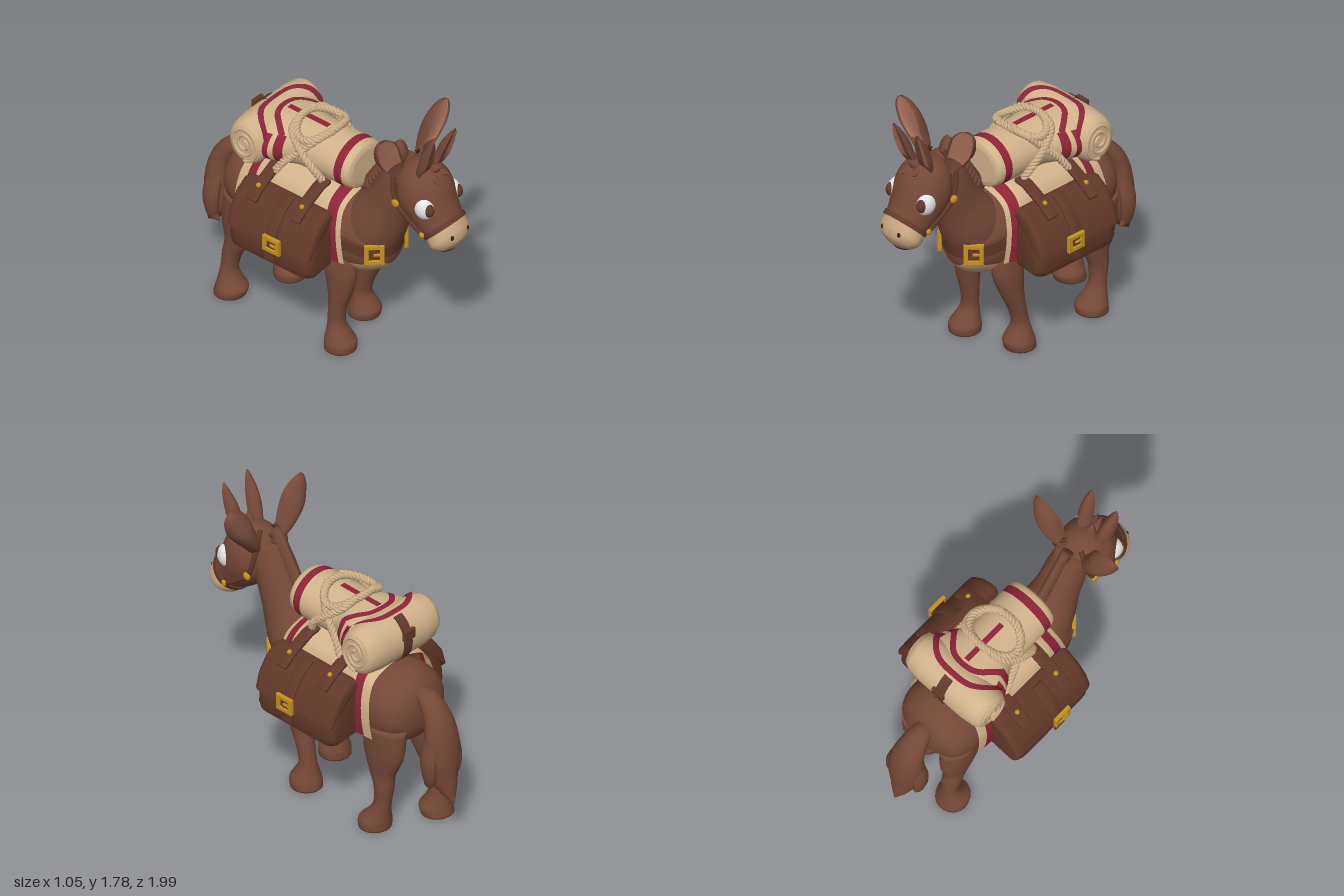
import * as THREE from 'three';
import { toCreasedNormals } from 'three/addons/utils/BufferGeometryUtils.js';
import { ParametricGeometry } from 'three/addons/geometries/ParametricGeometry.js';

const V = (x, y, z) => new THREE.Vector3(x, y, z);
const mat = (name, color, side = THREE.FrontSide) => {
  const m = new THREE.MeshStandardMaterial({ color, side });
  m.name = name;
  return m;
};

export function createModel() {
  const root = new THREE.Group();
  root.name = 'packDonkey';
  const fur = mat('brownFur', 0x754838), leather = mat('leather', 0x623829), dark = mat('darkBrown', 0x3a2119);
  const cream = mat('creamFur', 0xc6a680), cloth = mat('beigeCloth', 0xd2b38a, THREE.DoubleSide);
  const red = mat('redStripe', 0x8c2436, THREE.DoubleSide), gold = mat('goldMetal', 0xc4921f);
  const pink = mat('innerEar', 0xb0745e), white = mat('eyeWhite', 0xe8e8e8);

  const add = (name, geo, m, parent = root) => {
    const mesh = new THREE.Mesh(geo, m);
    mesh.name = name;
    parent.add(mesh);
    return mesh;
  };

  // Closed loft through elliptical rings; rows are [x, y, z, half width, half depth].
  function limb(name, m, rows, o = {}) {
    const n = o.n || 20, count = (rows.length - 1) * (o.sharp ? 1 : o.k || 5);
    const path = new THREE.CatmullRomCurve3(rows.map(r => V(r[0], r[1], r[2])), false, 'catmullrom');
    const size = new THREE.CatmullRomCurve3(rows.map(r => V(r[3], r[4], 0)), false, 'catmullrom');
    const pts = [], tris = [], mats = [].concat(m), buckets = mats.map(() => []);
    for (let i = 0; i <= count; i++) {
      const p = path.getPoint(i / count), r = size.getPoint(i / count), t = path.getTangent(i / count);
      const d = Math.hypot(t.y, t.z) || 1, [vy, vz] = o.v || [-t.z / d, t.y / d];
      for (let j = 0; j < n; j++) {
        const a = j / n * Math.PI * 2, s = Math.sin(a);
        const h = Math.max(r.y, 0.002) * (o.dent && s > 0 ? -o.dent * s : s);
        pts.push(V(p.x + Math.max(r.x, 0.002) * Math.cos(a), p.y + vy * h, p.z + vz * h));
      }
    }
    const c0 = pts.push(path.getPoint(0)) - 1, c1 = pts.push(path.getPoint(1)) - 1;
    for (let j = 0; j < n; j++) {
      const k = (j + 1) % n, e = count * n;
      tris.push([c0, k, j, j / n, 0], [c1, e + j, e + k, j / n, 1]);
      for (let i = 0; i < count; i++) {
        const a = i * n + j, b = i * n + k, u = (j + 0.5) / n, t = (i + 0.5) / count;
        tris.push([a, b, b + n, u, t], [a, b + n, a + n, u, t]);
      }
    }
    let vol = 0;
    for (const [a, b, c] of tris) vol += pts[a].dot(V(0, 0, 0).crossVectors(pts[b], pts[c]));
    for (const [a, b, c, u, t] of tris) {
      const z = path.getPoint(t).z, mid = V(0, 0, 0).add(pts[a]).add(pts[b]).add(pts[c]).divideScalar(3);
      buckets[o.paint ? o.paint(mid, u, t, z) : 0].push(...(vol > 0 ? [a, b, c] : [a, c, b]));
    }
    let geo = new THREE.BufferGeometry().setFromPoints(pts);
    geo.setIndex(buckets.flat());
    let start = 0;
    buckets.forEach((b, i) => { geo.addGroup(start, b.length, i); start += b.length; });
    if (o.sharp) geo = toCreasedNormals(geo, 0.7);
    else geo.computeVertexNormals();
    return add(name, geo, mats.length > 1 ? mats : mats[0]);
  }
  const spike = (name, a, b, rx, r) => limb(name, fur, [[...a, rx, r],
    [...a.map((q, i) => q * 0.5 + b[i] * 0.5), rx * 0.75, r * 0.7], [...b, 0.003, 0.003]], { n: 10, k: 3 });
  const tube = (name, pts, r, m, seg = 32) => add(name, new THREE.TubeGeometry(
    new THREE.CatmullRomCurve3(pts.map(p => V(...p))), seg, r, 7), m);
  const ball = (name, p, r, m, sx = 1, sy = 1, sz = 1) => {
    const b = add(name, new THREE.SphereGeometry(r, 20, 14), m);
    b.position.set(...p);
    b.scale.set(sx, sy, sz);
  };

  // Torso with pale belly, neck, and head with pale muzzle
  limb('torso', [fur, cream], [[0, .76, .475, .04, .05], [0, .77, .45, .12, .13], [0, .78, .38, .18, .2],
    [0, .79, .26, .22, .26], [0, .78, .1, .235, .28], [0, .765, -.1, .25, .3], [0, .775, -.3, .255, .29],
    [0, .82, -.45, .265, .265], [0, .84, -.58, .262, .25], [0, .84, -.68, .22, .2], [0, .84, -.73, .13, .12],
    [0, .84, -.745, .03, .03]],
    { n: 72, k: 6, v: [1, 0], paint: (p, u, t, z) => (u > .58 && u < .92 && z > -.43 && z < .455 ? 1 : 0) });
  limb('neck', fur, [[0, .75, .22, .19, .22], [0, .92, .34, .18, .195], [0, 1.1, .44, .14, .155],
    [0, 1.3, .53, .125, .135], [0, 1.45, .575, .1, .105]], { n: 32 });
  limb('head', [fur, cream], [[0, 1.47, .58, .05, .05], [0, 1.44, .62, .12, .12], [0, 1.36, .68, .168, .18],
    [0, 1.28, .74, .175, .183], [0, 1.19, .8, .155, .158], [0, 1.12, .86, .14, .13], [0, 1.08, .89, .148, .125],
    [0, 1.05, .915, .143, .115], [0, 1.02, .94, .1, .085], [0, 1.005, .955, .03, .03]],
    { n: 48, v: [.707, .707], paint: p => (p.z - p.y > -.26 ? 1 : 0) });

  // Legs in a walking pose: the lower part of each leg is shifted along z
  const frontLeg = [[0, .2, .1, .1], [.05, .2, .1, .1], [.1, .185, .08, .08], [.17, .165, .057, .056],
    [.28, .17, .058, .06], [.4, .185, .065, .082], [.55, .185, .072, .115], [.7, .17, .06, .11]];
  const backLeg = [[0, -.5, .105, .1], [.05, -.5, .105, .1], [.1, -.525, .08, .078], [.18, -.555, .057, .056],
    [.3, -.565, .06, .066], [.4, -.55, .066, .093], [.55, -.555, .085, .15], [.75, -.56, .095, .16]];
  const leg = (name, rows, x, shift) => limb(name, fur, rows.map(([y, z, rx, rz]) =>
    [x * (1 - y * .2), y, z + shift * Math.max(0, 1 - y / .65), rx, rz]), { n: 24, v: [0, 1] });
  leg('frontLeftLeg', frontLeg, .18, -.115);
  leg('frontRightLeg', frontLeg, -.18, 0);
  leg('backLeftLeg', backLeg, .187, 0);
  leg('backRightLeg', backLeg, -.177, -.165);

  // Tail and its loose strands
  limb('tail', fur, [[0, .95, -.66, .05, .04], [0, .95, -.76, .07, .06], [0, .83, -.85, .1, .08],
    [0, .66, -.88, .12, .095], [0, .5, -.885, .1, .095], [0, .38, -.93, .06, .055], [0, .29, -.98, .005, .005]]);
  for (let i = -2; i <= 2; i++) limb('tailStrand', fur, [[.03 * i, .8, -.86, .03, .04],
    [.055 * i, .6, -.87, .035, .06], [.05 * i, .45, -.87 - .03 * (i & 1), .03, .045],
    [.045 * i, .32 + .04 * Math.abs(i), -.82 - .13 * (i & 1), .004, .004]], { n: 10 });

  // Mane and forelock
  for (let i = 0; i < 11; i++) {
    const t = i / 10, y = 1.51 - .38 * t, z = .51 - .24 * t;
    spike('maneTuft', [0, y + .03, z + .03], [0, y - .045, z - .085], .035, .06);
  }
  [[0, 1.58, .76], [0, 1.54, .84], [.05, 1.47, .86], [-.05, 1.45, .87]]
    .forEach(tip => spike('forelockTuft', [tip[0] * .3, 1.46, .73], tip, .04, .045));

  // Ears, eyes and bridle sides
  const ear = (dent, lo, hi) => ({ n: 28, v: [0, 1], dent,
    paint: (p, u, t) => (u > lo && u < hi && t > .22 && t < .92 ? 1 : 0) });
  for (const s of [1, -1]) {
    limb('sideEar', [fur, pink], [[.1 * s, 1.42, .61, .04, .05], [.15 * s, 1.5, .615, .065, .085],
      [.21 * s, 1.6, .625, .09, .105], [.245 * s, 1.69, .625, .09, .08], [.272 * s, 1.75, .62, .06, .045],
      [.29 * s, 1.78, .615, .012, .01]], ear(.25, .08, .42));
    limb('frontEar', [fur, pink], [[.055 * s, 1.43, .73, .035, .04], [.08 * s, 1.54, .79, .047, .065],
      [.09 * s, 1.64, .825, .043, .065], [.097 * s, 1.72, .85, .028, .04], [.1 * s, 1.78, .865, .006, .008]],
    s > 0 ? ear(.1, .05, .25) : ear(.1, .25, .45));
    ball('eye', [.126 * s, 1.29, .808], .07, white, .75, 1.08, 1);
    ball('pupil', [.134 * s, 1.295, .848], .04, leather, .8, 1.2, 1);
    ball('nostril', [.07 * s, 1.115, .982], .016, dark, .8, 1.1, .6);
    tube('cheekStrap', [[.138 * s, 1.09, .81], [.145 * s, 1.17, .7], [.148 * s, 1.25, .61],
      [.125 * s, 1.42, .57], [.05 * s, 1.54, .6]], .016, leather);
    ball('bridleRivet', [.158 * s, 1.25, .61], .027, gold, .6);
    ball('noseRivet', [.15 * s, 1.1, .81], .02, gold, .6);
  }
  tube('mouth', [[-.128, 1.05, .845], [-.085, .995, .9], [0, .978, .927], [.085, .995, .9], [.128, 1.05, .845]], .008, dark);

  // Straps built as thin discs around the body
  const disc = (name, a, b, rx, r, v) => limb(name, leather,
    [[...a, rx - .012, r - .012], [...a, rx, r], [...b, rx, r], [...b, rx - .012, r - .012]], { n: 56, sharp: true, v });
  disc('noseband', [0, 1.13, .85], [0, 1.108, .872], .153, .138, [.707, .707]);
  disc('chestStrap', [0, .79, .2], [0, .87, .215], .24, .29, [-.22, .975]);
  disc('girth', [0, .765, -.06], [0, .765, -.14], .264, .313, [1, 0]);

  // Buckle: a frame and prong on a leather backing, facing local +z
  function buckle(name, p, ry, w, h, m) {
    const g = new THREE.Group(), rect = (T, x, y) => new T().moveTo(-x, -y).lineTo(x, -y).lineTo(x, y).lineTo(-x, y).closePath();
    g.name = name;
    const shape = rect(THREE.Shape, w / 2, h / 2);
    shape.holes.push(rect(THREE.Path, w / 2 - .02, h / 2 - .02));
    add('frame', new THREE.ExtrudeGeometry(shape, { depth: .018, bevelSize: .004, bevelThickness: .004, bevelSegments: 2 }), m, g);
    add('prong', new THREE.BoxGeometry(w * .5, .012, .014), m, g).position.set(w * .2, 0, .014);
    add('backing', new THREE.BoxGeometry(w - .02, h - .02, .012), leather, g).position.z = .002;
    g.position.set(...p);
    g.rotation.y = ry;
    root.add(g);
  }

  // Saddle blanket with cross stripes, draped over the back and drawn in at the front
  const drape = new THREE.CatmullRomCurve3([[.28, .68], [.292, .8], [.28, .95], [.215, 1.1], [0, 1.17],
    [-.215, 1.1], [-.28, .95], [-.292, .8], [-.28, .68]].map(p => V(p[0], p[1], 0)));
  const bands = [0, .04, .12, .84, .92, 1];
  for (let i = 0; i < 5; i++) add('saddleBlanket', new ParametricGeometry((u, v, out) => {
    const p = drape.getPoint(u), w = bands[i] + (bands[i + 1] - bands[i]) * v, flare = (1.13 - p.y) * .09;
    const front = Math.max(0, 1 - w * 6), back = Math.max(0, w * 5 - 4);
    out.set(p.x * (1 - .15 * front - .04 * back), p.y - (.24 * front + .2 * back) * Math.max(0, p.y - .9),
      .235 + flare - w * (.75 + 2 * flare));
  }, 48, 8), i % 2 ? red : cloth);

  // Saddlebags with solid flaps; strips are bands that follow a side profile
  const extrude = (name, pts, z, width, s, bevel) => {
    const shape = new THREE.Shape(pts.map(p => new THREE.Vector2(p[0] * s, p[1])));
    const geo = new THREE.ExtrudeGeometry(shape, { depth: width - 2 * bevel, bevelThickness: bevel,
      bevelSize: bevel * .6, bevelOffset: -bevel * .6, bevelSegments: 5 });
    add(name, toCreasedNormals(geo, .8), leather).position.z = z - width / 2 + bevel;
  };
  const strip = (name, pts, z, width, thick, s) => {
    const outer = pts.map((p, i) => {
      const a = pts[Math.max(i - 1, 0)], b = pts[Math.min(i + 1, pts.length - 1)], l = Math.hypot(b[0] - a[0], b[1] - a[1]);
      return [p[0] - (b[1] - a[1]) / l * thick, p[1] + (b[0] - a[0]) / l * thick];
    });
    extrude(name, [...pts, ...outer.reverse()], z, width, s, .008);
  };
  const flap = [[.27, 1.055], [.32, 1.062], [.405, 1.005], [.472, .91], [.502, .8]];
  for (const s of [1, -1]) {
    extrude('saddlebag', [[.25, .65], [.25, 1], [.3, 1.04], [.39, .985], [.45, .9], [.483, .8], [.492, .7],
      [.475, .65], [.43, .63]], -.11, .64, s, .075);
    extrude('bagFlap', [[.25, 1.0], ...flap, [.47, .785], [.38, .88]], -.11, .65, s, .045);
    strip('flapStrap', [...flap.slice(1), [.5, .7]], -.08, .08, .016, s);
    for (const z of [.05, -.29]) {
      strip('shoulderStrap', [[.13, 1.135], [.2, 1.125], [.27, 1.09], [.35, 1.05], [.425, .99]], z, .08, .024, s);
      ball('strapRivet', [.36 * s, 1.07, z], .016, gold);
    }
    buckle('bagBuckle', [.505 * s, .82, -.06], s * Math.PI / 2, .12, .1, gold);
    buckle('chestBuckle', [.14 * s, .775, .43], s * .8, .115, .13, gold);
  }

  // Front bedroll lying along the back, widening into the rear roll
  const flareRows = [[-.1, .18], [-.17, .19], [-.25, .245], [-.33, .285], [-.45, .285]];
  limb('frontBedroll', [cloth, red], [[0, 1.27, .255, .13, .11], [0, 1.27, .24, .165, .145], [0, 1.27, .2, .178, .157],
    [0, 1.27, .145, .18, .16], [0, 1.27, 0, .18, .16], ...flareRows.map(([z, r]) => [0, 1.27, z, r, .16])],
    { n: 48, k: 8, v: [1, 0], paint: (p, u, t, z) => (z > .145 && z < .2
      || Math.sin(u * Math.PI * 2) < .62 && (z > -.27 && z < -.215 || z > -.325 && z < -.295) ? 1 : 0) });
  add('centreStripe', new THREE.BoxGeometry(.035, .008, .31), red).position.set(0, 1.429, -.195);

  // Rear bedroll lying crosswise, with spiral ends and a leather strap
  const roll = new THREE.Group();
  roll.name = 'rearBedroll';
  roll.position.set(0, 1.272, -.45);
  roll.scale.z = .86;
  root.add(roll);
  const prof = [[0, -.3], [.1, -.308], [.132, -.3], [.153, -.265], [.166, -.17], [.166, .17], [.153, .265], [.132, .3], [.1, .308], [0, .3]];
  add('rolledCloth', new THREE.LatheGeometry(prof.map(p => new THREE.Vector2(...p)), 48), cloth, roll).rotation.z = Math.PI / 2;
  for (const s of [1, -1]) {
    const pts = [];
    for (let i = 0; i <= 60; i++) {
      const a = i / 60 * Math.PI * 5, r = .02 + .105 * i / 60;
      pts.push([.303 * s, r * Math.cos(a), r * Math.sin(a)]);
    }
    roll.add(tube('spiralFold', pts, .012, cloth, 120));
  }
  add('rollStrap', new THREE.CylinderGeometry(.176, .176, .065, 24, 1, false, Math.PI * .62, Math.PI * .85),
    leather, roll).rotation.z = Math.PI / 2;
  buckle('rollBuckle', [0, 1.34, -.592], Math.PI, .08, .06, leather);

  // Curved stripes lying on top of both rolls, given in plan as [x, z]
  const rollTop = (x, z) => {
    const i = Math.min(3, Math.max(0, flareRows.findIndex(r => r[0] <= z) - 1)), [a, b] = [flareRows[i], flareRows[i + 1]];
    const rx = a[1] + (b[1] - a[1]) * (z - a[0]) / (b[0] - a[0]);
    return Math.max(1.27 + .16 * Math.sqrt(Math.max(0, 1 - (x / rx) ** 2)),
      1.272 + .166 * Math.sqrt(Math.max(0, 1 - ((z + .45) / .143) ** 2))) + .005;
  };
  for (const half of [[[0, -.47], [.13, -.455], [.215, -.39], [.262, -.31]], [[0, -.385], [.09, -.365], [.155, -.3], [.197, -.243]]]) {
    const c = new THREE.CatmullRomCurve3([...half.slice(1).reverse().map(p => [-p[0], p[1]]), ...half].map(p => V(p[0], 0, p[1])));
    add('rollStripe', new ParametricGeometry((u, v, out) => {
      const p = c.getPoint(u), t = c.getTangent(u), w = (v - .5) * .036;
      out.set(p.x + t.z * w, 0, p.z - t.x * w);
      out.y = rollTop(out.x, out.z);
    }, 60, 4), red);
  }

  // Twisted ropes: three strands winding around a path
  function rope(pts, closed, turns) {
    const c = new THREE.CatmullRomCurve3(pts.map(p => V(...p)), closed), n = turns * 8;
    const f = c.computeFrenetFrames(n, closed);
    for (let k = 0; k < 3; k++) {
      const line = [];
      for (let i = 0; i <= n; i++) {
        const a = i / n * turns * Math.PI * 2 + k * Math.PI * 2 / 3;
        line.push(c.getPointAt(i / n).addScaledVector(f.normals[i], Math.cos(a) * .013).addScaledVector(f.binormals[i], Math.sin(a) * .013));
      }
      add('ropeStrand', new THREE.TubeGeometry(new THREE.CatmullRomCurve3(line), n * 2, .013, 6), cloth);
    }
  }
  const ring = [];
  for (let i = 0; i < 16; i++) {
    const a = i / 16 * Math.PI * 2;
    ring.push([.175 * Math.cos(a), 1.445 - .05 * Math.cos(a) ** 2, -.1 + .125 * Math.sin(a)]);
  }
  rope(ring, true, 12);
  for (const s of [1, -1]) {
    rope([[.05 * s, 1.45, .03], [.14 * s, 1.41, -.02], [.195 * s, 1.3, -.12], [.22 * s, 1.22, -.2], [.24 * s, 1.13, -.26]], false, 6);
    rope([[.05 * s, 1.45, -.22], [.15 * s, 1.41, -.2], [.2 * s, 1.33, -.1], [.2 * s, 1.24, 0], [.17 * s, 1.16, .05]], false, 6);
  }
  return root;
}
